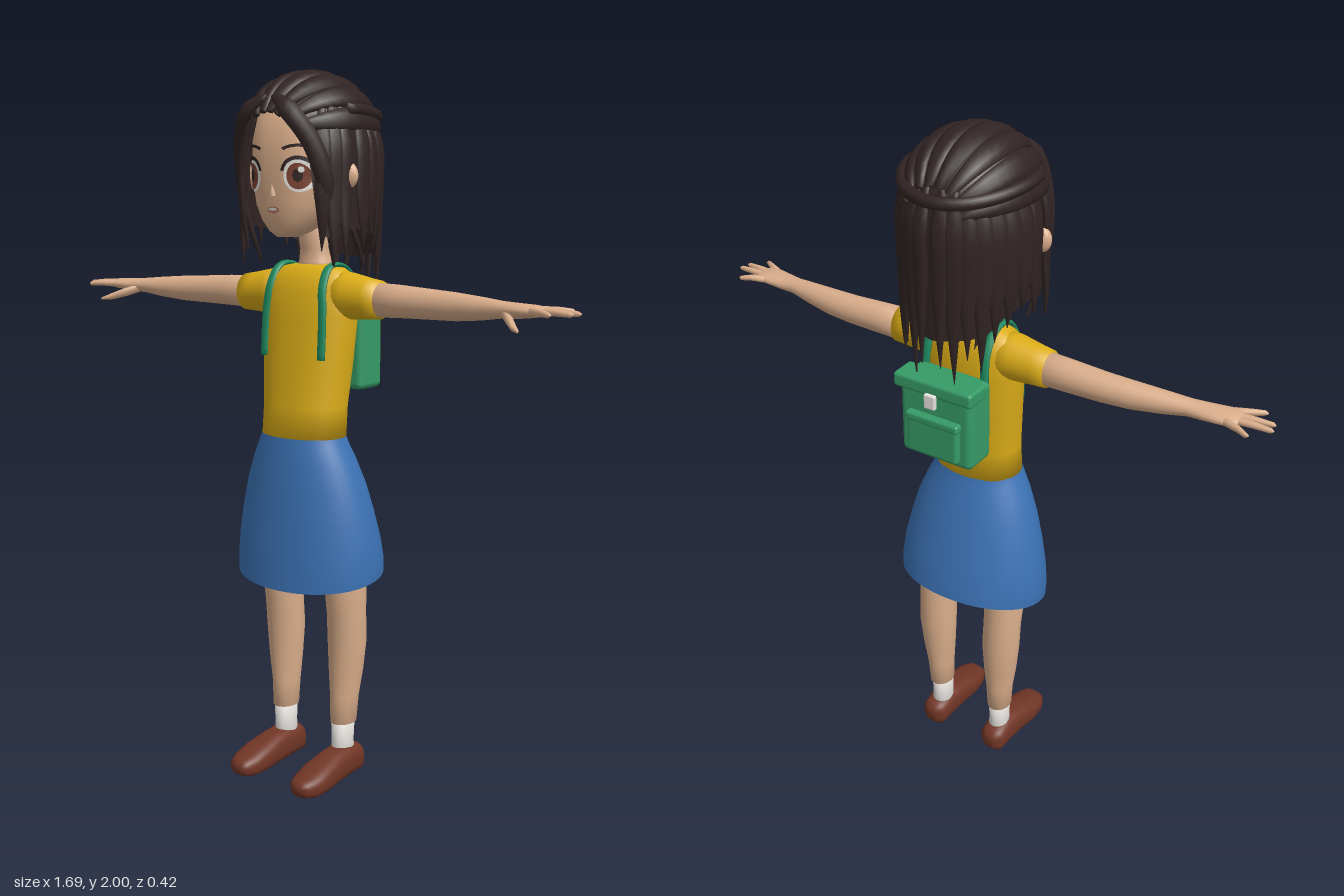
import * as THREE from 'three';
import { RoundedBoxGeometry } from 'three/addons/geometries/RoundedBoxGeometry.js';

const V = (x, y, z) => new THREE.Vector3(x, y, z);
const rad = THREE.MathUtils.degToRad, lerp = THREE.MathUtils.lerp;

// Surface through a stack of closed rings, with optional end caps
function skin(rings, caps = true) {
  const n = rings[0].length, pos = [], idx = [];
  rings.forEach(r => r.forEach(p => pos.push(p.x, p.y, p.z)));
  for (let i = 0; i < rings.length - 1; i++) for (let j = 0; j < n; j++) {
    const a = i * n + j, b = i * n + (j + 1) % n;
    idx.push(a, a + n, b, b, a + n, b + n);
  }
  if (caps) [0, rings.length - 1].forEach((ri, end) => {
    const c = rings[ri].reduce((s, p) => s.add(p), V(0, 0, 0)).divideScalar(n), k = pos.length / 3;
    pos.push(c.x, c.y, c.z);
    for (let j = 0; j < n; j++) {
      const a = ri * n + j, b = ri * n + (j + 1) % n;
      idx.push(k, end ? b : a, end ? a : b);
    }
  });
  const g = new THREE.BufferGeometry();
  g.setAttribute('position', new THREE.Float32BufferAttribute(pos, 3));
  g.setIndex(idx);
  g.computeVertexNormals();
  return g;
}

// Loft of superellipses along an axis (0 x, 1 y, 2 z).
// Row: [position, centre and radius on next axis, centre and radius on the one after]
function loft(axis, rows, power = 2, seg = 28, caps = true) {
  const sp = v => Math.sign(v) * Math.abs(v) ** (2 / power);
  return skin(rows.map(r => Array.from({ length: seg }, (_, j) => {
    const a = j / seg * Math.PI * 2, p = [0, 0, 0];
    p[axis] = r[0];
    p[(axis + 1) % 3] = r[1] + r[2] * sp(Math.sin(a));
    p[(axis + 2) % 3] = r[3] + r[4] * sp(Math.cos(a));
    return V(...p);
  })), caps);
}

// Front z of an upright loft at a given x and y
function frontZ(rows, power, x, y) {
  let i = 0;
  while (i < rows.length - 2 && rows[i + 1][0] < y) i++;
  const t = THREE.MathUtils.clamp((y - rows[i][0]) / (rows[i + 1][0] - rows[i][0]), 0, 1);
  const r = rows[i].map((v, k) => lerp(v, rows[i + 1][k], t));
  return r[1] + r[2] * Math.max(0, 1 - Math.min(1, Math.abs(x / r[4])) ** power) ** (1 / power);
}

// Flat ribbon with thickness, facing away from centre(p)
function ribbon(points, width, thick, centre, taper = () => 1, steps = 14, seg = 8) {
  const curve = new THREE.CatmullRomCurve3(points);
  return skin(Array.from({ length: steps + 1 }, (_, i) => {
    const t = i / steps, p = curve.getPoint(t), T = curve.getTangent(t);
    const side = T.clone().cross(p.clone().sub(centre(p))).normalize();
    const out = side.clone().cross(T), k = taper(t);
    return Array.from({ length: seg }, (_, j) => {
      const a = (j + 0.5) / seg * Math.PI * 2;
      return p.clone().addScaledVector(side, Math.cos(a) * width * k / 2)
        .addScaledVector(out, Math.sin(a) * thick * Math.sqrt(k));
    });
  }));
}

function mirrored(g) {
  const m = g.clone().scale(-1, 1, 1), ix = m.index.array;
  for (let i = 0; i < ix.length; i += 3) [ix[i], ix[i + 1]] = [ix[i + 1], ix[i]];
  m.computeVertexNormals();
  return m;
}

export function createModel() {
  const root = new THREE.Group();
  root.name = 'girlWithBackpack';
  const mat = (name, color, side = THREE.FrontSide) => Object.assign(new THREE.MeshStandardMaterial({ color, side }), { name });
  const skinTone = mat('skin', 0xdaae8b), yellow = mat('shirtYellow', 0xdcad18), blue = mat('skirtBlue', 0x3b72b4, THREE.DoubleSide);
  const dark = mat('hairDark', 0x302423, THREE.DoubleSide), leather = mat('shoeBrown', 0x713626), white = mat('white', 0xe8e5e0);
  const green = mat('packGreen', 0x369b66), strapGreen = mat('strapGreen', 0x1f8a60), iris = mat('irisBrown', 0x7d4333), pink = mat('lip', 0xb87466);
  const add = (name, g, m) => {
    const mesh = new THREE.Mesh(g, m);
    mesh.name = name;
    root.add(mesh);
    return mesh;
  };
  const pair = (name, g, m) => { add(name + 'Left', g, m); add(name + 'Right', mirrored(g), m); };

  // Shirt, sleeves and skirt
  const torso = [[1.0, .03, .092, 0, .126], [1.1, .022, .09, 0, .126], [1.22, .01, .089, 0, .137], [1.35, 0, .087, 0, .147],
    [1.42, -.004, .081, 0, .148], [1.46, -.006, .066, 0, .135], [1.48, -.01, .05, 0, .1], [1.488, -.015, .042, 0, .055]];
  add('shirt', loft(1, torso, 2.3, 36), yellow);
  pair('sleeve', loft(0, [[.08, 1.408, .066, -.005, .062], [.14, 1.406, .064, -.005, .058], [.2, 1.402, .056, -.005, .051], [.238, 1.4, .052, -.005, .047]]), yellow);
  const skirt = loft(1, [[.617, 0, .163, 0, .228], [.66, .002, .159, 0, .23], [.72, .006, .151, 0, .224], [.8, .012, .138, 0, .208],
    [.88, .018, .124, 0, .187], [.95, .025, .11, 0, .16], [.99, .029, .1, 0, .14], [1.016, .03, .095, 0, .129]], 2.1, 40, false);
  const sp = skirt.attributes.position;
  for (let i = 0; i < sp.count; i++) sp.setY(i, sp.getY(i) - .17 * sp.getZ(i) * (1.016 - sp.getY(i)) / .4);
  skirt.computeVertexNormals();
  add('skirt', skirt, blue);

  // Legs, socks and shoes
  pair('leg', loft(1, [[.172, -.018, .043, .108, .035], [.25, -.021, .045, .109, .04], [.33, -.024, .05, .112, .05], [.42, -.026, .055, .114, .057],
    [.5, -.021, .057, .115, .056], [.58, -.014, .063, .116, .058], [.75, -.005, .07, .105, .064], [.93, .005, .07, .075, .065]]), skinTone);
  pair('sock', loft(1, [[.06, -.016, .04, .107, .03], [.12, -.016, .038, .107, .029], [.178, -.017, .04, .107, .031]], 2, 20), white);
  pair('shoe', loft(2, [[-.082, .109, .022, .052, .026], [-.065, .11, .04, .05, .042], [-.01, .11, .043, .055, .048], [.05, .111, .045, .05, .047],
    [.11, .113, .051, .042, .041], [.16, .114, .047, .035, .033], [.19, .113, .034, .034, .024], [.2, .112, .018, .034, .012]], 2.6), leather);

  // Arms and hands
  pair('arm', loft(0, [[.21, 1.4, .047, -.005, .043], [.3, 1.4, .044, -.007, .042], [.4, 1.398, .04, -.006, .04], [.48, 1.397, .037, 0, .037],
    [.56, 1.398, .03, .01, .032], [.625, 1.4, .022, .019, .027], [.67, 1.4, .02, .024, .034], [.72, 1.402, .016, .028, .041], [.755, 1.403, .011, .029, .036]], 2, 20), skinTone);
  [[.8, 0, -.03], [.843, .019, .022], [.837, .038, .05], [.8, .056, .092]].forEach(([tip, z0, z1], i) =>
    pair('finger' + (i + 1), loft(0, [[.725, 1.403, .011, z0, .012], [lerp(.725, tip, .55), 1.404, .009, lerp(z0, z1, .55), .01], [tip - .008, 1.402, .007, z1, .007], [tip, 1.402, .002, z1, .002]], 2, 10), skinTone));
  pair('thumb', loft(0, [[.64, 1.392, .012, .035, .014], [.67, 1.38, .013, .062, .017], [.7, 1.367, .01, .093, .014], [.724, 1.36, .004, .113, .005]], 2, 10), skinTone);

  // Neck, head, ears and nose
  add('neck', loft(1, [[1.465, -.022, .05, 0, .062], [1.495, -.022, .041, 0, .048], [1.53, -.018, .038, 0, .04], [1.63, 0, .045, 0, .042]]), skinTone);
  const head = [[1.565, .095, .03, 0, .028], [1.58, .083, .055, 0, .055], [1.61, .063, .088, 0, .085], [1.65, .045, .112, 0, .111], [1.7, .03, .131, 0, .125],
    [1.76, .02, .144, 0, .131], [1.82, .01, .15, 0, .135], [1.88, 0, .142, 0, .13], [1.94, -.01, .11, 0, .1], [1.965, -.01, .06, 0, .06]];
  add('head', loft(1, head, 2.4, 48), skinTone);
  pair('ear', new THREE.SphereGeometry(1, 14, 10).scale(.035, .037, .02).translate(.163, 1.727, .05), skinTone);
  add('nose', new THREE.ConeGeometry(.011, .03, 8).rotateX(.25).translate(0, 1.69, .16), skinTone);

  // Painted face, laid on the head surface
  const decal = (g, x, y, off) => {
    g.translate(x, y, 0);
    const p = g.attributes.position;
    for (let i = 0; i < p.count; i++) p.setZ(i, frontZ(head, 2.4, p.getX(i), p.getY(i)) + off);
    g.computeVertexNormals();
    return g;
  };
  const disc = (rx, ry) => new THREE.CircleGeometry(1, 24).scale(rx, ry, 1);
  const arc = (r0, r1, from, len, ky) => new THREE.RingGeometry(r0, r1, 16, 1, rad(from), rad(len)).scale(1, ky, 1);
  pair('eyeWhite', decal(disc(.038, .043), .077, 1.727, .003), white);
  pair('iris', decal(disc(.028, .034), .077, 1.725, .005), iris);
  pair('pupil', decal(disc(.012, .017), .077, 1.727, .0065), dark);
  pair('eyeGlint', decal(disc(.007, .008), .086, 1.742, .008), white);
  pair('eyelash', decal(arc(.037, .046, 10, 155, 1.1), .077, 1.727, .006), dark);
  pair('eyebrow', decal(arc(.06, .071, 55, 72, .7), .077, 1.758, .006), dark);
  add('mouth', decal(disc(.02, .009), 0, 1.637, .003), pink);
  add('teeth', decal(disc(.014, .004), 0, 1.639, .005), white);

  // Hair shell, open around the face
  const hairPt = (phi, y, grow = 0) => {
    const f = y > 1.82 ? Math.sqrt(Math.max(0, 1 - ((y - 1.82) / .178) ** 2)) : 1;
    return V(Math.sin(phi) * (.172 + grow) * f, y, Math.cos(phi) * ((Math.cos(phi) > 0 ? .192 : .195) + grow) * f);
  };
  const hem = [[0, 1.9], [18, 1.89], [30, 1.86], [40, 1.79], [47, 1.62], [56, 1.56], [80, 1.59], [115, 1.57], [135, 1.52], [180, 1.5]];
  const hemY = deg => {
    const i = Math.max(1, hem.findIndex(h => h[0] >= deg)), [a, b] = [hem[i - 1], hem[i]];
    return lerp(a[1], b[1], (deg - a[0]) / (b[0] - a[0]));
  };
  add('hairShell', skin(Array.from({ length: 16 }, (_, i) => Array.from({ length: 72 }, (_, j) => {
    const deg = j * 5;
    return hairPt(rad(deg), 1.998 - (1.998 - hemY(deg > 180 ? 360 - deg : deg)) * (i / 15) ** 2);
  })), false), dark);

  // Combed crown locks running front to back
  const hairCentre = p => V(0, Math.min(p.y, 1.82), 0);
  [9, 29, 50, 72].forEach((deg, k) => pair('crownLock' + k, ribbon(Array.from({ length: 9 }, (_, i) => {
    const s = rad(lerp(k < 2 ? 24 : 32, 152, i / 8)), a = rad(deg);
    return V(Math.sin(s) * Math.sin(a) * .176, 1.82 + Math.sin(s) * Math.cos(a) * .174, Math.cos(s) * .2);
  }), .066, .013, hairCentre, t => .35 + .65 * Math.sin(Math.PI * t)), dark));

  // Gathered band around the back
  add('hairBand', ribbon(Array.from({ length: 13 }, (_, i) => hairPt(rad(75 + i * 17.5), 1.885 + .012 * Math.cos(i * Math.PI / 6), .012)), .034, .016, hairCentre, () => 1, 30), dark);

  // Hanging locks, from the temples round to the back: angle, tip height, width, flare
  const taper = t => Math.min(1, .4 + t * 3, (1 - t) / .5 + .03);
  [[52, 1.53, .05, -.01], [61, 1.49, .055, .01], [70, 1.52, .05, .014], [90, 1.54, .06, .008], [102, 1.57, .06, 0], [115, 1.53, .06, -.005],
    [127, 1.5, .055, 0], [138, 1.42, .055, .004], [149, 1.46, .055, .008], [160, 1.385, .055, 0], [171, 1.43, .05, .008]].forEach(([deg, tip, w, flare], i) =>
    pair('hangingLock' + i, ribbon([1.9, 1.8, 1.68, lerp(1.68, tip, .55), tip].map((y, k) =>
      hairPt(rad(deg), y, [0, .008, .008, .006 + flare * .5, flare][k])), w, .011, hairCentre, taper), dark));
  pair('frontLock', ribbon([V(.012, 1.93, .165), V(.07, 1.895, .182), V(.125, 1.81, .15), V(.148, 1.7, .118), V(.14, 1.6, .095), V(.125, 1.49, .06)],
    .055, .014, hairCentre, taper, 20), dark);
  pair('napeLock', ribbon([V(.08, 1.62, -.06), V(.09, 1.55, -.09), V(.085, 1.47, -.13)], .04, .008, hairCentre, taper), dark);

  // Backpack with lid, pocket and clasp
  const box = (name, w, h, d, y, z, r, m) => add(name, new RoundedBoxGeometry(w, h, d, 3, r).translate(0, y, z), m);
  box('backpackBody', .224, .235, .105, 1.25, -.138, .018, green);
  box('backpackLid', .244, .042, .078, 1.357, -.167, .01, green);
  box('backpackPocket', .16, .115, .03, 1.21, -.194, .01, green);
  box('pocketFlap', .166, .025, .034, 1.262, -.195, .008, green);
  box('clasp', .034, .042, .014, 1.327, -.21, .004, white);

  // Shoulder straps
  const onChest = (x, y) => V(x, y, frontZ(torso, 2.3, x, y) + .004);
  pair('strap', ribbon([onChest(.1, 1.235), onChest(.1, 1.3), onChest(.098, 1.37), onChest(.092, 1.43), V(.088, 1.478, .035), V(.086, 1.489, 0),
    V(.087, 1.478, -.045), V(.09, 1.43, -.083), V(.095, 1.34, -.098)], .026, .007, p => V(p.x, 1.36, 0), () => 1, 28), strapGreen);
  return root;
}
